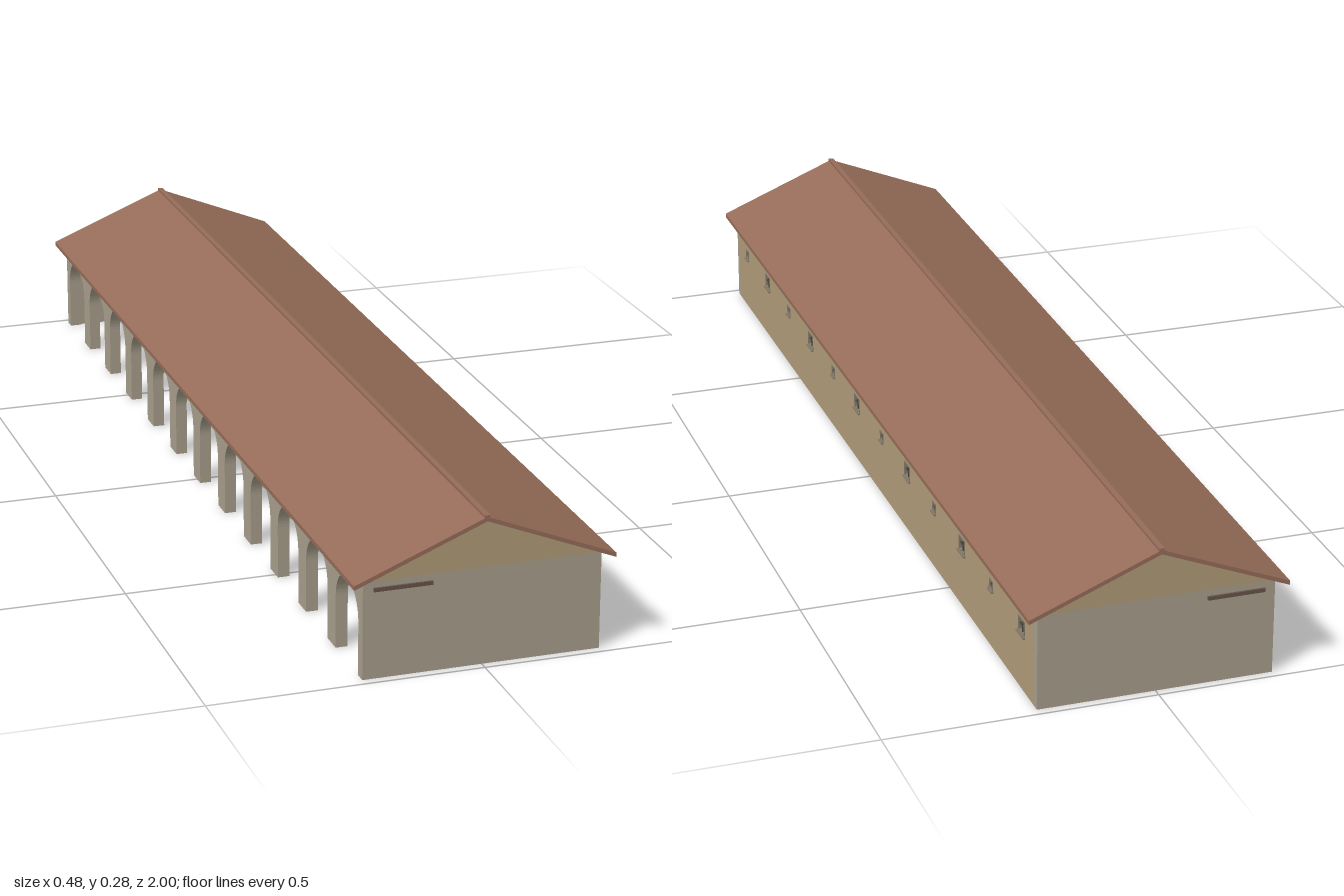
import * as THREE from 'three';

const mat = (color) => new THREE.MeshStandardMaterial({ color });
const TAN = mat(0xb09c78), GREY = mat(0xa89f8c), ROOF = mat(0x966c59);
const WOOD = mat(0x66534a), DARK = mat(0x4a4540), PANEL = mat(0x857b6c);

const BAYS = 12, PITCH = 0.164, END = 0.984, WALL_T = 0.018;
const HALF_W = 0.217, WALL_H = 0.18;
const bayZ = (i) => END - PITCH * (i + 0.5);

export function createModel() {
  const root = new THREE.Group();

  const add = (name, geo, material, x = 0, y = 0, z = 0, parent = root) => {
    const m = new THREE.Mesh(geo, material);
    m.name = name;
    m.position.set(x, y, z);
    parent.add(m);
    return m;
  };
  const box = (name, w, h, d, material, x, y, z, parent) =>
    add(name, new THREE.BoxGeometry(w, h, d), material, x, y, z, parent);

  // Extrudes a (z, y) outline into a long wall whose +x face lies at x
  const longWall = (name, shape, t, material, x) => {
    const g = new THREE.ExtrudeGeometry(shape, { depth: t, bevelEnabled: false, curveSegments: 16 });
    return add(name, g.rotateY(-Math.PI / 2), material, x);
  };
  const rectHole = (z, y, w, h) => new THREE.Path([
    new THREE.Vector2(z - w / 2, y - h / 2), new THREE.Vector2(z - w / 2, y + h / 2),
    new THREE.Vector2(z + w / 2, y + h / 2), new THREE.Vector2(z + w / 2, y - h / 2),
  ]);
  const L = END - WALL_T;

  // Framed, barred window, centred in its opening
  const windowUnit = (name, x, y, z, w, h, large) => {
    const g = new THREE.Group();
    g.name = name;
    g.position.set(x, y, z);
    root.add(g);
    const f = 0.003;
    for (const s of [-1, 1]) {
      box('frameSide', 0.008, h, f, PANEL, 0, 0, s * (w - f) / 2, g);
      box('frameRail', 0.008, f, w, PANEL, 0, s * (h - f) / 2, 0, g);
    }
    if (large) box('pane', 0.003, h, w, PANEL, -0.004, 0, 0, g);
    box('uprightBar', 0.004, h, 0.002, DARK, 0, 0, 0, g);
    box('crossBar', 0.004, 0.002, w, DARK, 0, 0, 0, g);
    return g;
  };
  const winSize = (i) => (i % 2 ? [0.034, 0.03] : [0.02, 0.02]);

  // Solid long wall with alternating small and large windows
  const outer = new THREE.Shape([[-L, 0], [L, 0], [L, WALL_H], [-L, WALL_H]].map((p) => new THREE.Vector2(...p)));
  for (let i = 0; i < BAYS; i++) {
    const [w, h] = winSize(i);
    outer.holes.push(rectHole(bayZ(i), 0.121, w, h));
    const unit = windowUnit('wallWindow', HALF_W - 0.003, 0.121, bayZ(i), w, h, i % 2 === 1);
    box('sill', 0.008, 0.003, w + 0.004, PANEL, 0.003, -h / 2 - 0.001, 0, unit);
  }
  longWall('windowWall', outer, 0.02, TAN, HALF_W);

  // Arcade on the other side: one outline with twelve round arches
  const arcade = new THREE.Shape();
  const R = 0.06, SPRING = 0.098;
  arcade.moveTo(-L, WALL_H);
  arcade.lineTo(-L, 0);
  for (let i = BAYS - 1; i >= 0; i--) {
    const z = bayZ(i);
    arcade.lineTo(z - R, 0);
    arcade.lineTo(z - R, SPRING);
    arcade.absarc(z, SPRING, R, Math.PI, 0, true);
    arcade.lineTo(z + R, 0);
  }
  arcade.lineTo(L, 0);
  arcade.lineTo(L, WALL_H);
  longWall('arcade', arcade, 0.022, GREY, -HALF_W + 0.022);

  // Inner wall behind the walkway: a doorway and a window in each bay
  const inner = new THREE.Shape();
  const INNER_H = 0.228, DOOR_H = 0.11;
  inner.moveTo(-L, INNER_H);
  inner.lineTo(-L, 0);
  for (let i = BAYS - 1; i >= 0; i--) {
    const z = bayZ(i) + 0.04, hw = 0.034;
    inner.lineTo(z - hw, 0);
    inner.lineTo(z - hw, DOOR_H);
    inner.lineTo(z + hw, DOOR_H);
    inner.lineTo(z + hw, 0);
  }
  inner.lineTo(L, 0);
  inner.lineTo(L, INNER_H);
  for (let i = 0; i < BAYS; i++) {
    const [w, h] = winSize(i), z = bayZ(i) - 0.035;
    inner.holes.push(rectHole(z, 0.121, w, h));
    windowUnit('innerWindow', -0.1, 0.121, z, w, h, false);
  }
  longWall('innerWall', inner, 0.016, TAN, -0.092);

  // Walkway ceiling, its ends showing through the end walls
  box('walkwayCeiling', 0.106, 0.007, 1.976, WOOD, -0.145, 0.1645, 0);

  // End walls and gables
  const gable = new THREE.Shape([[-HALF_W, WALL_H], [HALF_W, WALL_H], [HALF_W, 0.184], [0, 0.271], [-HALF_W, 0.184]]
    .map((p) => new THREE.Vector2(...p)));
  for (const s of [-1, 1]) {
    box('endWall', HALF_W * 2, WALL_H, WALL_T, GREY, 0, WALL_H / 2, s * (END - WALL_T / 2));
    add('gable', new THREE.ExtrudeGeometry(gable, { depth: WALL_T, bevelEnabled: false }), TAN,
      0, 0, s > 0 ? END - WALL_T : -END);
  }

  // Two roof slopes and the ridge cap
  for (const s of [-1, 1]) {
    const pts = [[0, 0.27], [s * 0.238, 0.174], [s * 0.238, 0.182], [0, 0.278]];
    const slope = new THREE.Shape(pts.map((p) => new THREE.Vector2(...p)));
    add('roofSlope', new THREE.ExtrudeGeometry(slope, { depth: 2, bevelEnabled: false }), ROOF, 0, 0, -1);
  }
  box('ridgeCap', 0.01, 0.007, 2, ROOF, 0, 0.2775, 0);

  return root;
}
